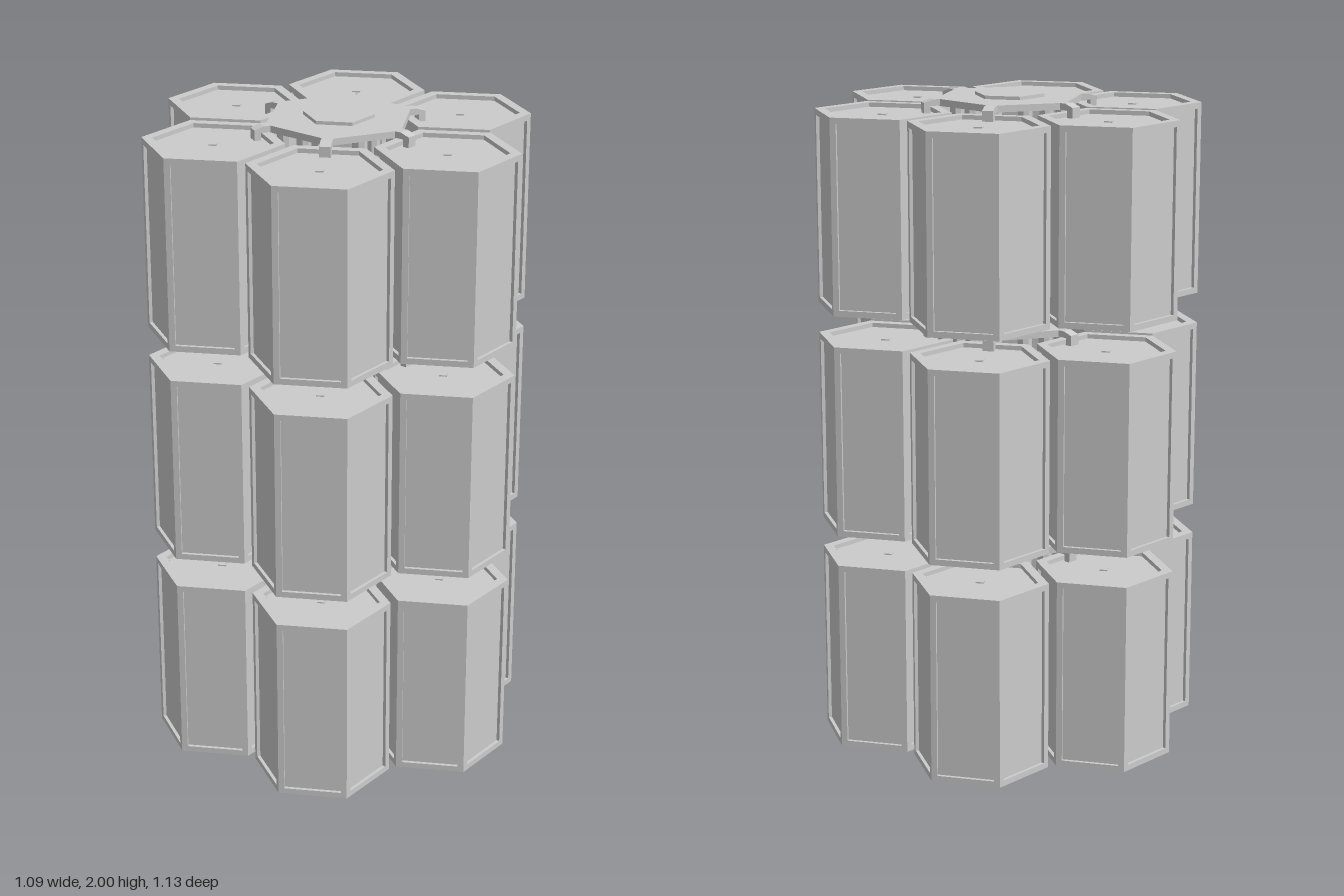
import * as THREE from 'three';

const SIDES = 6;
const HALF = 0.29;          // half height of a container
const RADIUS = 0.208;       // container corner radius
const RING = 0.386;         // distance of containers from the axis
const TIERS = [0.3275, 1.0, 1.6725];

const material = new THREE.MeshStandardMaterial({ color: 0xcccccc, flatShading: true });

function addMesh(parent, name, geometry, x = 0, y = 0, z = 0) {
  const mesh = new THREE.Mesh(geometry, material);
  mesh.name = name;
  mesh.position.set(x, y, z);
  parent.add(mesh);
  return mesh;
}

// Convex polygon (counter-clockwise from outside) with a rim, inner walls and a sunken floor
function pushRecessedFace(out, pts, margin, depth) {
  const n = pts.length;
  const normal = pts[1].clone().sub(pts[0]).cross(pts[2].clone().sub(pts[1])).normalize();
  const inner = pts.map((p, i) => {
    const a = pts[(i + 1) % n].clone().sub(p).normalize();
    const b = pts[(i + n - 1) % n].clone().sub(p).normalize();
    const sine = a.clone().cross(b).length();
    return p.clone().addScaledVector(a.add(b), margin / sine);
  });
  const floor = inner.map((p) => p.clone().addScaledVector(normal, -depth));
  const tri = (...t) => t.forEach((p) => out.push(p.x, p.y, p.z));
  for (let i = 0; i < n; i++) {
    const j = (i + 1) % n;
    tri(pts[i], pts[j], inner[j]);
    tri(pts[i], inner[j], inner[i]);
    tri(inner[i], inner[j], floor[j]);
    tri(inner[i], floor[j], floor[i]);
    if (i > 0 && j > 0) tri(floor[0], floor[i], floor[j]);
  }
}

// Hexagonal container shell with recessed side panels and ends
function containerGeometry() {
  const ring = (y) => Array.from({ length: SIDES }, (_, i) => {
    const a = (i * Math.PI * 2) / SIDES;
    return new THREE.Vector3(RADIUS * Math.cos(a), y, -RADIUS * Math.sin(a));
  });
  const top = ring(HALF), bottom = ring(-HALF), out = [];
  pushRecessedFace(out, top, 0.028, 0.013);
  pushRecessedFace(out, [...bottom].reverse(), 0.028, 0.013);
  for (let i = 0; i < SIDES; i++) {
    const j = (i + 1) % SIDES;
    pushRecessedFace(out, [bottom[i], bottom[j], top[j], top[i]], 0.018, 0.01);
  }
  const geometry = new THREE.BufferGeometry();
  geometry.setAttribute('position', new THREE.Float32BufferAttribute(out, 3));
  geometry.computeVertexNormals();
  return geometry;
}

// Arm profile: runs outward, slopes at the tip and hooks down into a container end
function armGeometry() {
  const width = 0.033;
  const profile = [[0.19, 0.3175], [0.237, 0.3175], [0.265, 0.308], [0.265, 0.276],
    [0.245, 0.276], [0.245, 0.2985], [0.19, 0.2985]];
  const shape = new THREE.Shape(profile.map(([r, y]) => new THREE.Vector2(r, y)));
  return new THREE.ExtrudeGeometry(shape, { depth: width, bevelEnabled: false })
    .translate(0, 0, -width / 2);
}

const shell = containerGeometry();
const latch = new THREE.BoxGeometry(0.024, 0.006, 0.02);
const cornerStud = new THREE.CylinderGeometry(0.007, 0.007, 0.006, 3);
const plate = new THREE.CylinderGeometry(0.226, 0.226, 0.02, SIDES);
const boss = new THREE.CylinderGeometry(0.105, 0.105, 0.012, SIDES).rotateY(Math.PI / 6);
const arm = armGeometry();

function createContainer() {
  const group = new THREE.Group();
  group.name = 'container';
  addMesh(group, 'containerShell', shell);
  for (const s of [-1, 1]) {
    const y = s * (HALF - 0.012);
    addMesh(group, 'latch', latch, 0, y, 0);
    for (const side of [-1, 1]) {
      const stud = addMesh(group, 'cornerStud', cornerStud, side * 0.168, y, 0);
      stud.rotation.y = side * Math.PI / 2;
    }
  }
  return group;
}

// Clamp plate with six hooked arms and a raised centre
function createClamp() {
  const group = new THREE.Group();
  group.name = 'clamp';
  addMesh(group, 'clampPlate', plate, 0, 0.3075, 0);
  addMesh(group, 'clampBoss', boss, 0, 0.3215, 0);
  for (let i = 0; i < SIDES; i++) {
    addMesh(group, 'clampArm', arm).rotation.y = Math.PI / 2 + (i * Math.PI) / 3;
  }
  return group;
}

export function createModel() {
  const model = new THREE.Group();
  model.name = 'containerStack';

  for (const y of TIERS) {
    const tier = new THREE.Group();
    tier.name = 'tier';
    tier.position.y = y;
    for (let i = 0; i < SIDES; i++) {
      const a = (i * Math.PI) / 3 + 0.012;
      const container = createContainer();
      container.position.set(RING * Math.sin(a), 0, RING * Math.cos(a));
      tier.add(container);
    }
    const upper = createClamp();
    const lower = createClamp();
    lower.rotation.x = Math.PI;
    tier.add(upper, lower);
    model.add(tier);
  }

  // Posts running through the core of all tiers
  const post = new THREE.CylinderGeometry(0.022, 0.022, 1.95, 8);
  for (let i = 0; i < SIDES; i++) {
    const a = (i * Math.PI) / 3;
    addMesh(model, 'corePost', post, 0.16 * Math.cos(a), 1, 0.16 * Math.sin(a));
  }
  return model;
}
